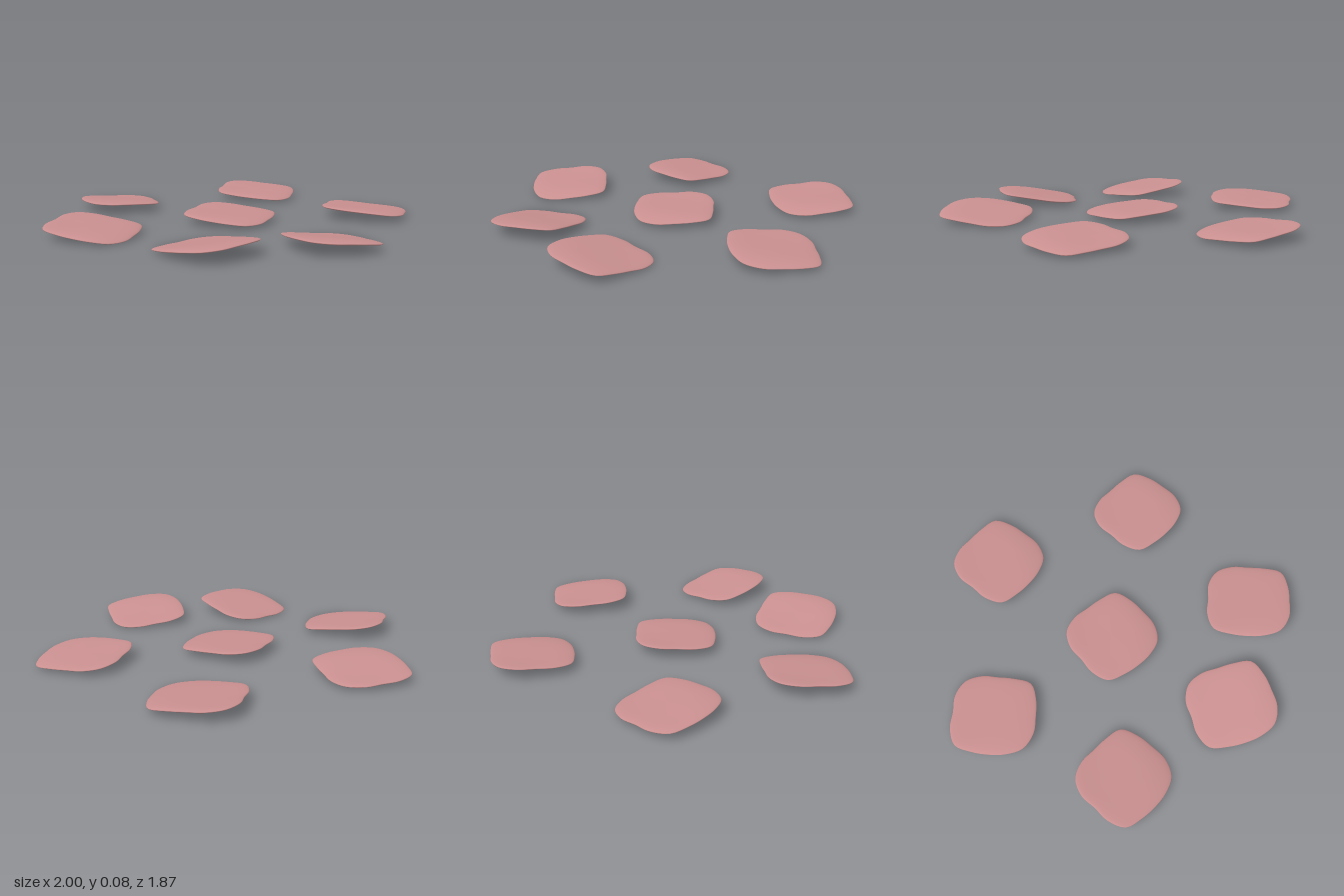
import * as THREE from 'three';
import { mergeVertices } from 'three/addons/utils/BufferGeometryUtils.js';

const HALF_THICKNESS = 0.012;

// Wavy rounded-square outline: radii at even steps, from +x towards +z
const RADII = [0.241, 0.249, 0.23, 0.219, 0.227, 0.254, 0.235, 0.214,
  0.233, 0.243, 0.225, 0.206, 0.219, 0.254, 0.235, 0.225];
const outline = new THREE.CatmullRomCurve3(RADII.map((r, i) => {
  const a = (i / RADII.length) * Math.PI * 2;
  return new THREE.Vector3(r * Math.cos(a), 0, r * Math.sin(a));
}), true, 'catmullrom', 0.5);

// Flat lens with a soft rim, bent to the outline, turned and tilted.
// slopeX and slopeZ are the rise of the slice along each axis.
function sliceGeometry(turn, slopeX, slopeZ) {
  const profile = [];
  for (let i = 0; i <= 20; i++) {
    const a = -Math.PI / 2 + (i / 20) * Math.PI;
    const r = i % 20 === 0 ? 0 : Math.pow(Math.cos(a), 0.4);
    profile.push(new THREE.Vector2(r, HALF_THICKNESS * Math.sin(a)));
  }
  let geometry = new THREE.LatheGeometry(profile, 64);
  const p = geometry.attributes.position;
  const axis = new THREE.Vector3(0, 1, 0);
  for (let i = 0; i < p.count; i++) {
    const x = p.getX(i), z = p.getZ(i);
    const u = (Math.atan2(z, x) / (Math.PI * 2) + 1) % 1;
    const v = outline.getPoint(u).multiplyScalar(Math.hypot(x, z));
    const wave = 0.005 * Math.sin(v.x * 14) * Math.cos(v.z * 6);
    v.applyAxisAngle(axis, -THREE.MathUtils.degToRad(turn));
    p.setXYZ(i, v.x, p.getY(i) + wave + v.x * slopeX + v.z * slopeZ, v.z);
  }
  // weld the seam so the shading is smooth all round
  geometry.deleteAttribute('uv');
  geometry.deleteAttribute('normal');
  geometry = mergeVertices(geometry, 1e-5);
  geometry.computeVertexNormals();
  return geometry;
}

export function createModel() {
  const group = new THREE.Group();
  group.name = 'slices';
  const pink = new THREE.MeshStandardMaterial({ color: 0xc98f8f });
  pink.name = 'dusty pink';

  // name, x, z, turn in degrees, slope along x, slope along z
  const slices = [
    ['centreSlice', -0.005, -0.03, 7, -0.08, -0.01],
    ['backRightSlice', -0.385, -0.70, -4, -0.1, -0.01],
    ['backLeftSlice', 0.445, -0.65, 0, -0.04, 0.09],
    ['rightSlice', -0.75, 0.10, 52, 0.02, 0.07],
    ['leftSlice', 0.755, 0.10, 52, 0.03, 0.135],
    ['frontRightSlice', -0.28, 0.69, 0, -0.14, -0.01],
    ['frontLeftSlice', 0.395, 0.58, 30, 0.14, 0],
  ];
  for (const [name, x, z, turn, slopeX, slopeZ] of slices) {
    const slice = new THREE.Mesh(sliceGeometry(turn, slopeX, slopeZ), pink);
    slice.name = name;
    slice.position.set(x, 0.053, z);
    group.add(slice);
  }
  return group;
}
